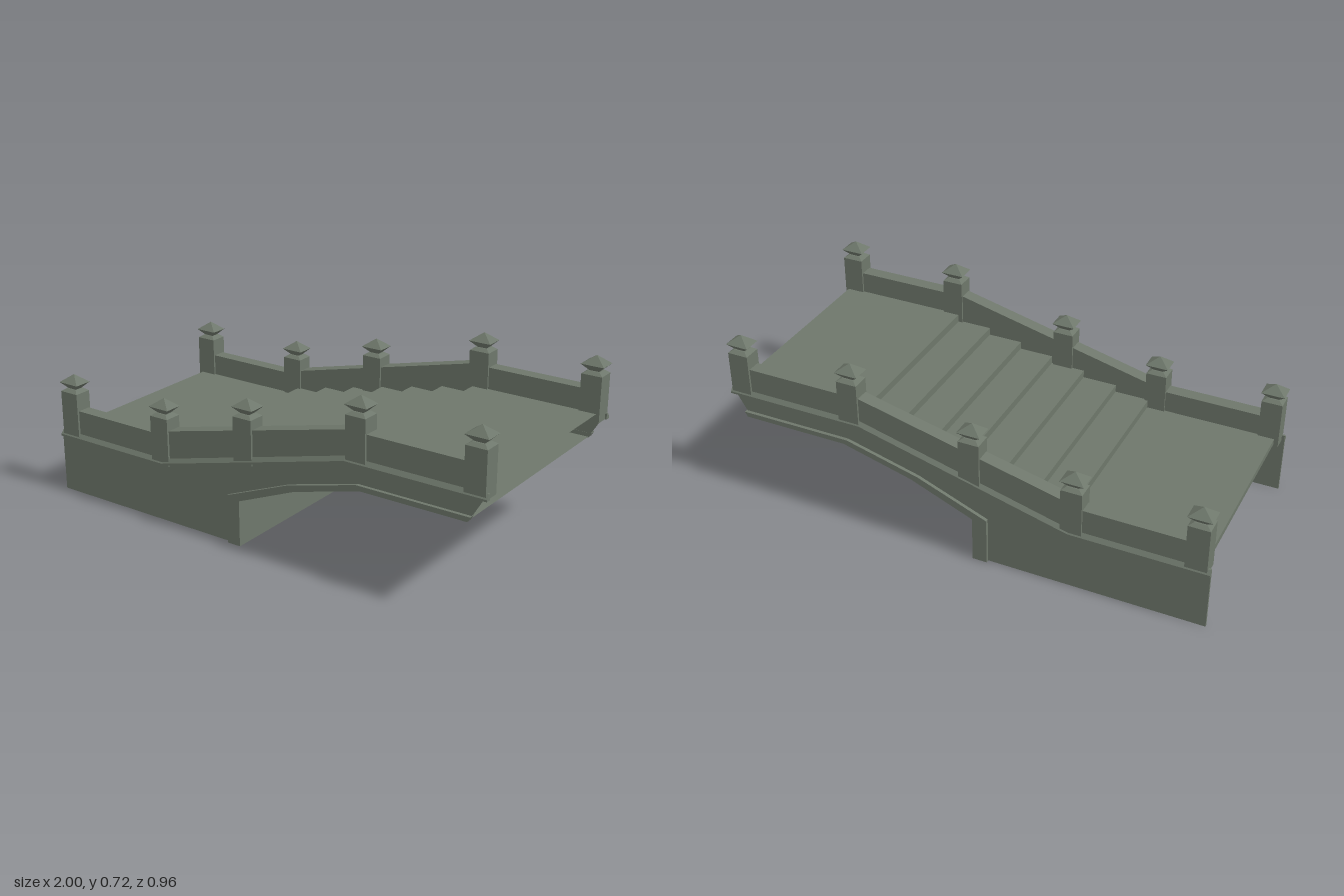
import * as THREE from 'three';

const stone = new THREE.MeshStandardMaterial({ color: 0x6e776b, flatShading: true, side: THREE.DoubleSide });
stone.name = 'grey green stone';

function add(parent, name, geometry) {
  const mesh = new THREE.Mesh(geometry, stone);
  mesh.name = name;
  parent.add(mesh);
  return mesh;
}

// Side outline in x and y, given thickness between two z values
function plate(outline, z0, z1) {
  const shape = new THREE.Shape(outline.map(([x, y]) => new THREE.Vector2(x, y)));
  const near = Math.min(z0, z1);
  return new THREE.ExtrudeGeometry(shape, { depth: Math.abs(z1 - z0), bevelEnabled: false }).translate(0, 0, near);
}

// Loft between two rows of points of equal length
function loft(rowA, rowB, pos = []) {
  for (let i = 0; i < rowA.length - 1; i++) {
    const a = rowA[i], b = rowA[i + 1], c = rowB[i + 1], d = rowB[i];
    pos.push(...a, ...d, ...b, ...b, ...d, ...c);
  }
  return pos;
}

function fromTriangles(pos) {
  const g = new THREE.BufferGeometry();
  g.setAttribute('position', new THREE.Float32BufferAttribute(pos, 3));
  g.computeVertexNormals();
  return g;
}

// Thin folded sheet running across the bridge
function sheet(profile, halfWidth) {
  const row = z => profile.map(([x, y]) => [x, y, z]);
  return fromTriangles(loft(row(-halfWidth), row(halfWidth)));
}

// Moulding: a section of [rise, z] carried along a path of [x, y]
function moulding(path, section, side) {
  const rows = path.map(([x, y]) => [...section, section[0]].map(([r, z]) => [x, y + r, z * side]));
  const pos = [];
  for (let i = 0; i < rows.length - 1; i++) {
    if (side > 0) loft(rows[i], rows[i + 1], pos);
    else loft(rows[i + 1], rows[i], pos);
  }
  // end caps
  for (const r of [rows[0], rows[rows.length - 1]]) {
    for (let i = 1; i < section.length - 1; i++) pos.push(...r[0], ...r[i], ...r[i + 1]);
  }
  return fromTriangles(pos);
}

// Four-sided frustum with flat sides facing the axes
function frustum(topW, bottomW, height, depthRatio) {
  const k = Math.SQRT1_2;
  return new THREE.CylinderGeometry(topW * k, bottomW * k, height, 4, 1)
    .rotateY(Math.PI / 4).scale(1, 1, depthRatio);
}

function createPost(x, base, top, z) {
  const post = new THREE.Group();
  post.name = 'railPost';
  const w = 0.086, d = 0.073, body = top - 0.012;
  add(post, 'postBody', new THREE.BoxGeometry(w, body - base, d)).position.y = (base + body) / 2;
  add(post, 'postShoulder', frustum(0.05, w, 0.012, d / w)).position.y = top - 0.006;
  add(post, 'capUnderside', frustum(0.096, 0.04, 0.026, 0.78)).position.y = top + 0.013;
  add(post, 'capPyramid', frustum(0, 0.096, 0.034, 0.78)).position.y = top + 0.043;
  post.position.set(x, 0, z);
  return post;
}

export function createModel() {
  const bridge = new THREE.Group();
  bridge.name = 'halfBridge';

  // Stepped deck, open underneath
  const deck = [[-0.97, 0.25], [-0.97, 0.275]];
  const rise = 0.225 / 7;
  for (let i = 0; i < 7; i++) {
    const x = -0.43 + i * 0.145;
    deck.push([x, 0.275 + i * rise], [x, 0.275 + (i + 1) * rise]);
  }
  deck.push([0.98, 0.5]);
  add(bridge, 'steppedDeck', sheet(deck, 0.41));

  // Abutment face and arch soffit
  const soffit = [[-0.06, 0], [-0.06, 0.19], [0.2, 0.297], [0.49, 0.378], [0.93, 0.378]];
  add(bridge, 'archSoffit', sheet(soffit, 0.458));

  const wall = [[-1, 0], [-0.08, 0], [-0.08, 0.195], [0.19, 0.305], [0.49, 0.38], [0.93, 0.38],
    [0.98, 0.465], [0.42, 0.465], [-0.45, 0.24], [-1, 0.24]];
  const ring = [[-0.12, 0], [-0.06, 0], [-0.06, 0.19], [0.2, 0.297], [0.49, 0.375], [0.93, 0.375],
    [0.942, 0.395], [0.475, 0.395], [0.17, 0.315], [-0.12, 0.2]];
  const parapet = [[-0.98, 0.24], [-0.45, 0.24], [0.42, 0.465], [0.99, 0.465], [0.99, 0.59],
    [0.42, 0.59], [-0.42, 0.388], [-0.46, 0.365], [-0.98, 0.365]];
  const ledgePath = [[-1, 0.24], [-0.45, 0.24], [0.42, 0.465], [1, 0.465]];
  const ledgeSection = [[0, 0.455], [0, 0.477], [0.008, 0.477], [0.025, 0.464], [0.025, 0.455]];
  const posts = [[-0.945, 0.24, 0.45], [-0.46, 0.24, 0.45], [-0.045, 0.345, 0.54],
    [0.465, 0.465, 0.662], [0.95, 0.465, 0.662]];

  // Both sides of the bridge
  for (const side of [1, -1]) {
    const flank = new THREE.Group();
    flank.name = side > 0 ? 'frontSide' : 'backSide';
    add(flank, 'sideWall', plate(wall, side * 0.456, side * 0.467));
    add(flank, 'archRing', plate(ring, side * 0.455, side * 0.481));
    add(flank, 'parapet', plate(parapet, side * 0.408, side * 0.464));
    add(flank, 'ledge', moulding(ledgePath, ledgeSection, side));
    for (const [x, base, top] of posts) flank.add(createPost(x, base, top, side * 0.4365));
    bridge.add(flank);
  }
  return bridge;
}
